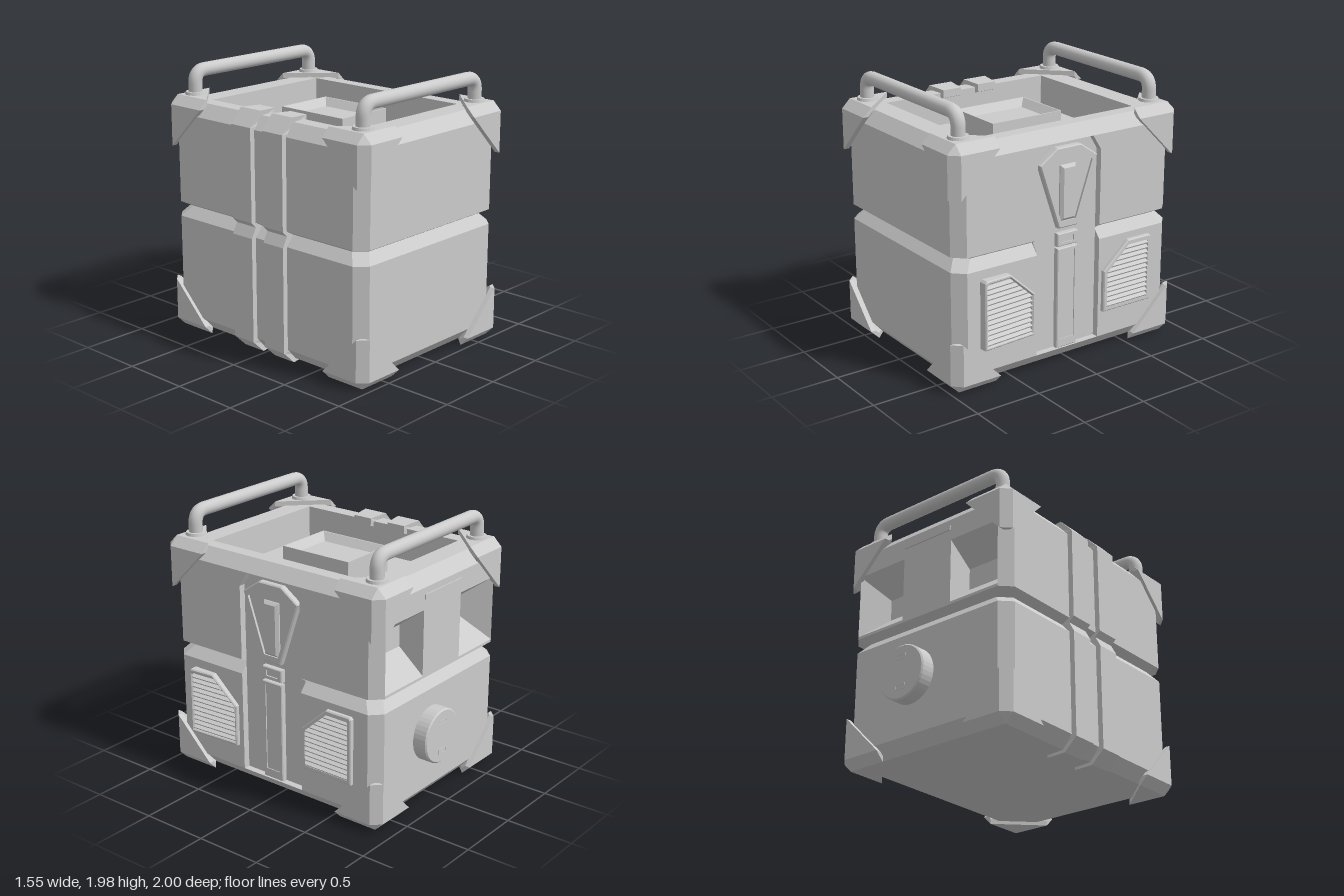
import * as THREE from 'three';
import { ConvexGeometry } from 'three/addons/geometries/ConvexGeometry.js';

const flat = new THREE.MeshStandardMaterial({ color: 0xcccccc, flatShading: true, side: THREE.DoubleSide });
const smooth = new THREE.MeshStandardMaterial({ color: 0xcccccc });
const mid = 0.0375; // z of the centre line of the side channel

function add(parent, name, geometry, material = flat) {
  const mesh = new THREE.Mesh(geometry, material);
  mesh.name = name;
  parent.add(mesh);
  return mesh;
}

function fromTriangles(pos) {
  const g = new THREE.BufferGeometry();
  g.setAttribute('position', new THREE.Float32BufferAttribute(pos, 3));
  g.computeVertexNormals();
  return g;
}

function quad(pos, a, b, c, d) {
  pos.push(...a, ...b, ...c, ...a, ...c, ...d);
}

// Chamfered rectangle with an optional channel (depth to x = n, half width m) in its +x side
function ring({ y, x0, x1, z0, z1, c, n = x1, m = 0.27 }) {
  const a = mid + m, b = mid - m;
  return [[x1, z1 - c], [x1, a], [n, a], [n, b], [x1, b], [x1, z0 + c], [x1 - c, z0],
    [x0 + c, z0], [x0, z0 + c], [x0, z1 - c], [x0 + c, z1], [x1 - c, z1]].map(([x, z]) => [x, y, z]);
}

// Skin over a stack of rings, closed at both ends; skip(row, side) leaves a face open
function loft(rows, skip = () => false) {
  const pos = [], rings = rows.map(ring);
  for (let r = 0; r < rings.length - 1; r++)
    for (let i = 0; i < 12; i++) {
      if (skip(r, i)) continue;
      const j = (i + 1) % 12;
      quad(pos, rings[r][i], rings[r][j], rings[r + 1][j], rings[r + 1][i]);
    }
  [0, rows.length - 1].forEach((r) => {
    const p = rows[r], midPoint = [(p.x0 + p.x1) / 2, p.y, (p.z0 + p.z1) / 2];
    for (let i = 0; i < 12; i++) {
      const a = rings[r][i], b = rings[r][(i + 1) % 12];
      pos.push(...midPoint, ...(r ? a : b), ...(r ? b : a));
    }
  });
  return fromTriangles(pos);
}

// Plate outlined by [z, y] points, reaching from x0 out to x1
function plate(points, x0, x1, bevel = 0, hole = null) {
  const toV = ([z, y]) => new THREE.Vector2(-z, y);
  const shape = new THREE.Shape(points.map(toV));
  if (hole) shape.holes.push(new THREE.Path(hole.map(toV)));
  const g = new THREE.ExtrudeGeometry(shape, {
    depth: x1 - x0 - bevel, bevelEnabled: bevel > 0, bevelSize: bevel,
    bevelOffset: -bevel, bevelThickness: bevel, bevelSegments: 1,
  });
  return g.rotateY(Math.PI / 2).translate(x0, 0, 0);
}

const rect = (h, y0, y1) => [[mid + h, y0], [mid + h, y1], [mid - h, y1], [mid - h, y0]];

function buildBody(root) {
  const row = (y, inset, extra = {}) => ({
    y, x0: -0.74 + inset, x1: 0.71 - inset, z0: -0.89 + inset, z1: 0.96 - inset, c: 0.08, ...extra,
  });
  const n = 0.66;
  const opening = { x0: -0.55, x1: 0.53, z0: -0.65, z1: 0.72, c: 0.001 };
  const rows = [
    row(0.03, 0.08), row(0.12, 0), row(0.12, 0, { n }), row(0.87, 0, { n }), row(0.945, 0.065, { n }),
    row(0.98, 0, { n }), row(1.0, 0, { n }), row(1.48, 0, { n }), row(1.53, 0, { n }),
    row(1.64, 0, { n, m: 0.2 }), row(1.64, 0, { m: 0.2 }), row(1.73, 0.08, { m: 0.2 }),
    row(1.73, 0, opening), row(1.49, 0, opening),
  ];
  add(root, 'body', loft(rows, (r, i) => r === 6 && i === 6));

  // Back grip: a flush centre bar between two sloping pockets
  const pos = [], z = -0.89, zi = -0.69;
  quad(pos, [0.2, 1, z], [-0.24, 1, z], [-0.24, 1.48, z], [0.2, 1.48, z]);
  [[0.63, 0.51, 0.2], [-0.66, -0.54, -0.24]].forEach(([xo, xi, xb]) => {
    const A = [xo, 1, z], B = [xo, 1.48, z], C = [xb, 1.48, z], D = [xb, 1, z];
    const E = [xi, 1.17, zi], F = [xi, 1.33, zi], G = [xb, 1.33, zi], H = [xb, 1.17, zi];
    const faces = [[A, B, F, E], [B, C, G, F], [D, A, E, H], [E, F, G, H], [C, D, H, G]];
    faces.forEach((f) => quad(pos, ...(xo > 0 ? f.reverse() : f)));
  });
  add(root, 'backGrip', fromTriangles(pos));
  add(root, 'backSlot', new THREE.BoxGeometry(0.43, 0.035, 0.02).translate(-0.02, 1.575, -0.89));

  // Raised block with a dished top inside the lid opening
  const block = (y, i) => ({ y, x0: -0.24 + i, x1: 0.22 - i, z0: -0.26 + i, z1: 0.33 - i, c: 0.001, m: 0.1 });
  add(root, 'lidBlock', loft([block(1.48, 0), block(1.69, 0), block(1.69, 0.01), block(1.635, 0.06)]));
}

// Eight convex caps wrapping the corners
function buildGuards(root) {
  const L = 0.37, e = 0.065, t = 0.04;
  const base = [[L, e, 0], [L, 0, e], [L, e, t], [L, t, e], [0, e, e]];
  const local = base.flatMap(([a, b, c]) => [[a, b, c], [c, a, b], [b, c, a]]);
  for (const [X, sx] of [[-0.765, 1], [0.74, -1]])
    for (const [Y, sy] of [[0.005, 1], [1.765, -1]])
      for (const [Z, sz] of [[-0.92, 1], [1.0, -1]]) {
        const pts = local.map(([a, b, c]) => new THREE.Vector3(X + sx * a, Y + sy * b, Z + sz * c));
        add(root, 'cornerGuard', new ConvexGeometry(pts));
      }
}

function buildHandles(root) {
  const x0 = -0.605, x1 = 0.57, top = 1.933, r = 0.09;
  for (const z of [0.845, -0.77]) {
    const handle = new THREE.Group();
    handle.name = 'carryHandle';
    const v = (x, y) => new THREE.Vector3(x, y, z);
    const path = new THREE.CurvePath();
    path.add(new THREE.LineCurve3(v(x0, 1.7), v(x0, top - r)));
    path.add(new THREE.QuadraticBezierCurve3(v(x0, top - r), v(x0, top), v(x0 + r, top)));
    path.add(new THREE.LineCurve3(v(x0 + r, top), v(x1 - r, top)));
    path.add(new THREE.QuadraticBezierCurve3(v(x1 - r, top), v(x1, top), v(x1, top - r)));
    path.add(new THREE.LineCurve3(v(x1, top - r), v(x1, 1.7)));
    add(handle, 'handleBar', new THREE.TubeGeometry(path, 90, 0.05, 16), smooth);
    for (const x of [x0, x1])
      add(handle, 'handleCollar', new THREE.CylinderGeometry(0.07, 0.088, 0.07, 24).translate(x, 1.75, z));
    root.add(handle);
  }
}

// Two straps wrapping the -x side, narrowing towards their ends
function buildStraps(root) {
  const outline = [[-0.52, 1.7], [-0.52, 1.757], [-0.68, 1.765], [-0.778, 1.66], [-0.778, 0.985], [-0.738, 0.945],
    [-0.778, 0.87], [-0.778, 0.1], [-0.68, 0.005], [-0.52, 0.01], [-0.52, 0.06], [-0.63, 0.1], [-0.63, 1.66]];
  for (const z of [-0.122, 0.182]) {
    const g = new THREE.ExtrudeGeometry(new THREE.Shape(outline.map(([x, y]) => new THREE.Vector2(x, y))),
      { depth: 0.19, bevelEnabled: false }).translate(0, 0, -0.095);
    const p = g.attributes.position;
    for (let i = 0; i < p.count; i++) if (p.getX(i) > -0.6) p.setZ(i, p.getZ(i) * 0.8);
    add(root, 'strap', g.translate(0, 0, z));
  }
}

// Shield, buckle and long bar in the side channel
function buildChannel(root) {
  const shield = (k) => [[0.08, 1.02], [0.245, 1.5], [0.1, 1.6], [-0.1, 1.6], [-0.245, 1.5], [-0.08, 1.02]]
    .map(([z, y]) => [mid + z * k, 1.33 + (y - 1.33) * k]);
  add(root, 'shieldRim', plate(shield(1), 0.65, 0.705, 0.008, shield(0.86)));
  add(root, 'shieldPlate', plate(shield(0.9), 0.65, 0.68));
  add(root, 'shieldInset', plate(rect(0.066, 1.07, 1.47), 0.66, 0.71, 0.02));
  add(root, 'buckleRim', plate(rect(0.087, 0.885, 0.98), 0.64, 0.7, 0.006, rect(0.06, 0.905, 0.96)));
  add(root, 'buckleCore', plate(rect(0.07, 0.89, 0.97), 0.64, 0.68));
  add(root, 'barRim', plate(rect(0.087, 0.12, 0.87), 0.64, 0.7, 0.006, rect(0.068, 0.18, 0.85)));
  add(root, 'barCore', plate(rect(0.075, 0.13, 0.86), 0.64, 0.685));
}

// Louvred vent; local z runs from its inner edge outwards in direction dir
function buildVent(root, dir, zInner, y0, tilt) {
  const vent = new THREE.Group();
  vent.name = 'vent';
  vent.position.set(0.742, 0, zInner);
  vent.rotation.y = tilt;
  const w = 0.43, h = 0.505, cut = 0.31;
  const outline = [[0, 0], [0, cut], [w * 0.5, h], [w - 0.015, h], [w, h - 0.015], [w, 0]];
  const shape = (k) => outline.map(([z, y]) => [dir * (w / 2 + (z - w / 2) * k), y0 + 0.235 + (y - 0.235) * k]);
  add(vent, 'ventFrame', plate(shape(1), -0.1, 0, 0.008, shape(0.9)));
  add(vent, 'ventBack', plate(shape(0.95), -0.1, -0.035));
  for (let i = 0; i < 12; i++) {
    const y = 0.04 + i * 0.037;
    const start = 0.015 + Math.max(0, (y - cut + 0.02) / (h - cut)) * w * 0.5;
    const slat = add(vent, 'ventSlat', new THREE.BoxGeometry(0.03, 0.012, w - 0.015 - start));
    slat.position.set(-0.02, y0 + y, dir * (start + w - 0.015) / 2);
    slat.rotation.z = -0.5;
  }
  root.add(vent);
}

// Round socket on the back with two slots
function buildSocket(root) {
  const socket = new THREE.Group();
  socket.name = 'backSocket';
  socket.position.set(0.095, 0.54, -0.87);
  const profile = [[0, 0], [0.2, 0], [0.2, 0.118], [0.19, 0.128], [0, 0.128]].map(([x, y]) => new THREE.Vector2(x, y));
  add(socket, 'socketDisc', new THREE.LatheGeometry(profile, 40).rotateX(-Math.PI / 2));
  for (const y of [-0.11, 0.11]) {
    for (const s of [-1, 1]) {
      add(socket, 'slotEdge', new THREE.BoxGeometry(0.08, 0.008, 0.01).translate(0, y + s * 0.016, -0.126));
      add(socket, 'slotEnd', new THREE.BoxGeometry(0.008, 0.04, 0.01).translate(s * 0.04, y, -0.126));
    }
  }
  root.add(socket);
}

export function createModel() {
  const root = new THREE.Group();
  root.name = 'equipmentCase';
  buildBody(root);
  buildGuards(root);
  buildHandles(root);
  buildStraps(root);
  buildChannel(root);
  buildVent(root, 1, 0.345, 0.3, 0.065);
  buildVent(root, -1, -0.26, 0.315, 0);
  buildSocket(root);
  return root;
}
